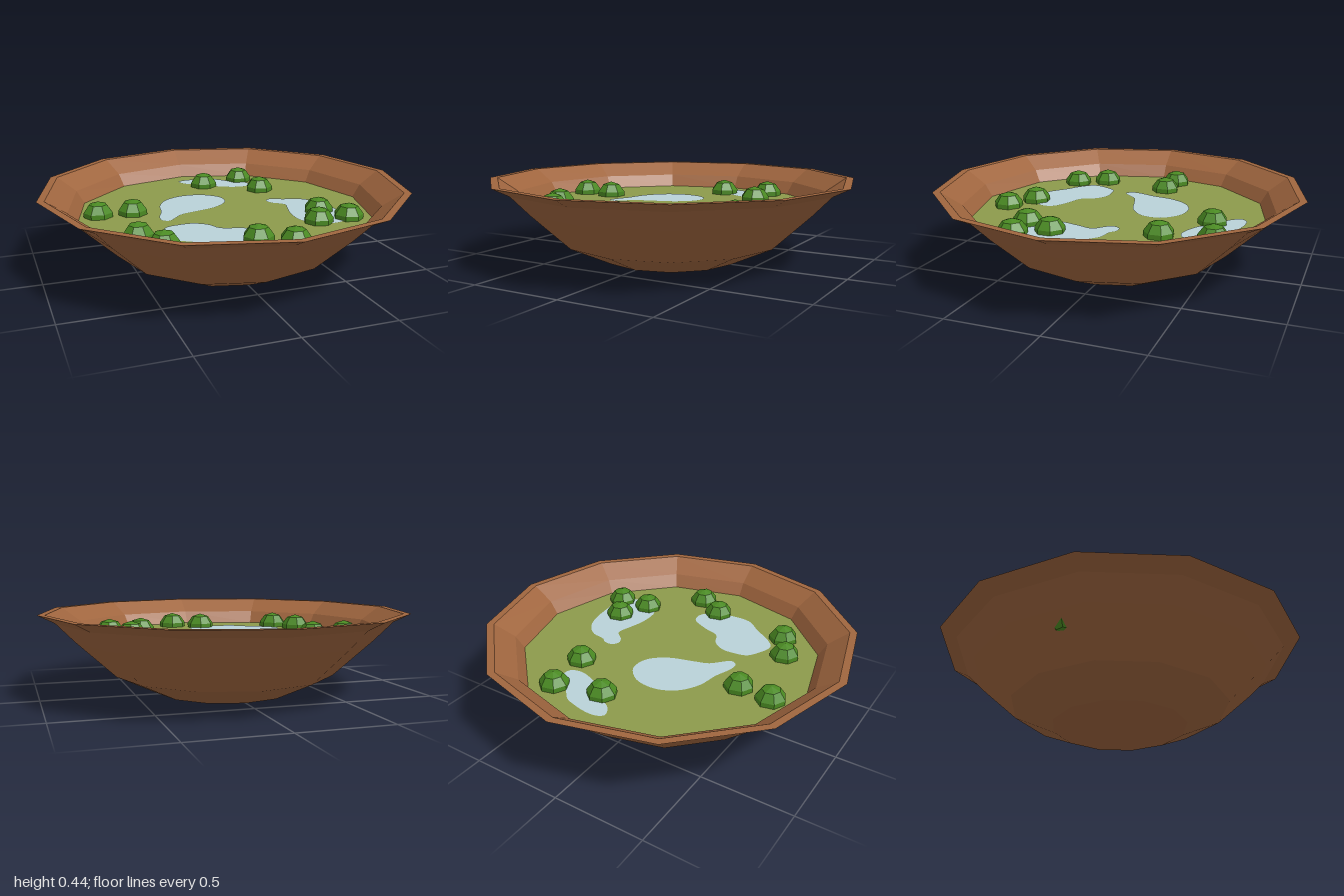
import * as THREE from 'three';

const mat = (name, color) => {
  const m = new THREE.MeshStandardMaterial({ color });
  m.name = name;
  return m;
};

// Split the faces so that every facet gets its own flat normal
function faceted(geometry) {
  const g = geometry.index ? geometry.toNonIndexed() : geometry;
  g.computeVertexNormals();
  return g;
}

const SOIL_Y = 0.3;

// Puddle outlines on the ground as [x, z]
const PUDDLES = {
  backPuddle: [[-0.06, -0.67], [-0.03, -0.695], [0.03, -0.7], [0.11, -0.685], [0.18, -0.66], [0.24, -0.6],
    [0.3, -0.56], [0.34, -0.51], [0.335, -0.45], [0.28, -0.43], [0.2, -0.45], [0.13, -0.49], [0.06, -0.56], [-0.03, -0.61]],
  middlePuddle: [[-0.11, -0.355], [-0.01, -0.335], [0.07, -0.25], [0.06, -0.145], [-0.03, -0.065], [-0.155, -0.025],
    [-0.245, 0.005], [-0.29, 0.05], [-0.335, 0.09], [-0.37, 0.07], [-0.37, 0.015], [-0.335, -0.08], [-0.31, -0.2], [-0.25, -0.295], [-0.18, -0.34]],
  rightPuddle: [[0.29, -0.08], [0.315, -0.115], [0.36, -0.115], [0.395, -0.09], [0.47, -0.075], [0.54, -0.01], [0.575, 0.08],
    [0.59, 0.2], [0.595, 0.3], [0.555, 0.385], [0.47, 0.42], [0.38, 0.4], [0.32, 0.32], [0.315, 0.2], [0.34, 0.1], [0.36, 0.015], [0.305, -0.04]],
  frontPuddle: [[-0.31, 0.17], [-0.235, 0.17], [-0.165, 0.215], [-0.125, 0.29], [-0.03, 0.325], [0.065, 0.38], [0.075, 0.445],
    [0.02, 0.51], [-0.1, 0.54], [-0.21, 0.535], [-0.3, 0.465], [-0.395, 0.4], [-0.445, 0.335], [-0.415, 0.24], [-0.375, 0.185]],
};

// Bush centres as [x, z]
const BUSHES = [[0.06, -0.535], [0.315, -0.6], [0.35, -0.335], [-0.67, -0.125], [-0.485, -0.11], [-0.55, 0.29],
  [-0.465, 0.455], [-0.01, 0.52], [0.145, 0.615], [0.48, 0.195], [0.395, 0.365], [0.578, 0.355]];

export function createModel() {
  const model = new THREE.Group();
  model.name = 'bowlGarden';
  const clay = mat('clay', 0xa0663f);
  const grass = mat('grass', 0x8d9a4b);
  const water = mat('water', 0xb9d2d8);
  const leaf = mat('leaf', 0x4a8a22);
  const add = (name, geometry, material) => {
    const mesh = new THREE.Mesh(geometry, material);
    mesh.name = name;
    model.add(mesh);
    return mesh;
  };

  // Twelve-sided bowl: base, outer wall, flat rim, inner wall
  const profile = [[0, 0], [0.37, 0], [0.6, 0.105], [0.81, 0.298], [0.91, 0.4], [1, 0.445],
    [0.96, 0.445], [0.85, 0.37], [0.806, SOIL_Y]].map(([r, y]) => new THREE.Vector2(r, y));
  add('bowl', faceted(new THREE.LatheGeometry(profile, 12)), clay);

  // Ground inside the bowl
  const ground = new THREE.CircleGeometry(0.807, 12).rotateX(-Math.PI / 2);
  add('ground', ground, grass).position.y = SOIL_Y;

  // Puddles lying on the ground
  for (const [name, outline] of Object.entries(PUDDLES)) {
    const shape = new THREE.Shape();
    const curve = new THREE.CatmullRomCurve3(outline.map(([x, z]) => new THREE.Vector3(x, -z, 0)), true);
    shape.setFromPoints(curve.getPoints(60).slice(0, -1).map((p) => new THREE.Vector2(p.x, p.y)));
    const geometry = new THREE.ShapeGeometry(shape).rotateX(-Math.PI / 2);
    add(name, geometry, water).position.y = SOIL_Y + 0.003;
  }

  // Round bushes half sunk in the ground
  const bushGeometry = faceted(new THREE.SphereGeometry(0.083, 7, 5));
  for (const [x, z] of BUSHES) add('bush', bushGeometry, leaf).position.set(x, SOIL_Y, z);

  return model;
}
